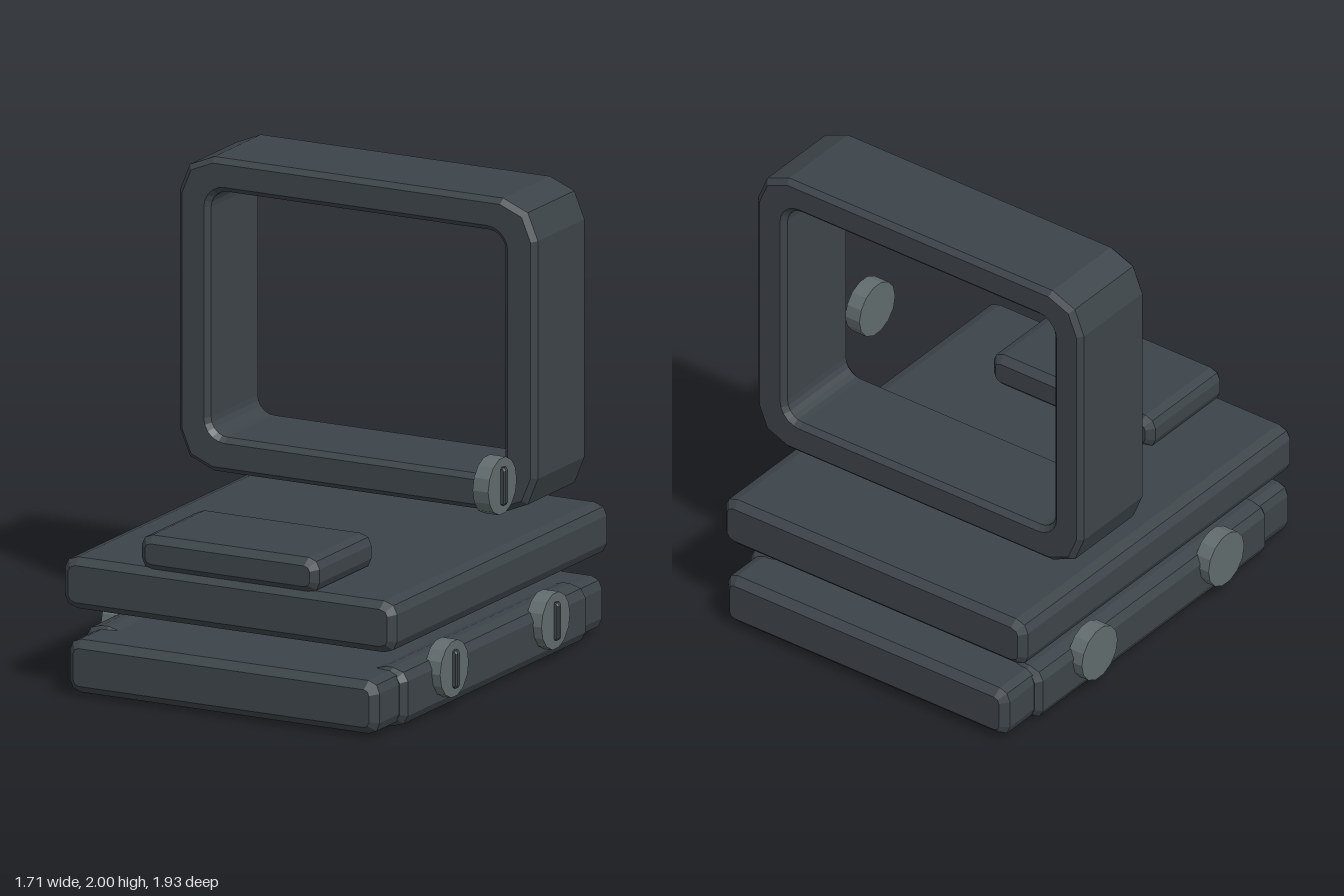
import * as THREE from 'three';

const body = new THREE.MeshStandardMaterial({ color: 0x3d4449 });
body.name = 'charcoal';
const metal = new THREE.MeshStandardMaterial({ color: 0x616b6d });
metal.name = 'grey metal';

// Rectangle whose corners are cut into n straight pieces
function roundedPoints(x0, x1, y0, y1, rx, ry, n) {
  const pts = [];
  const corners = [[x1 - rx, y1 - ry], [x0 + rx, y1 - ry], [x0 + rx, y0 + ry], [x1 - rx, y0 + ry]];
  corners.forEach(([cx, cy], c) => {
    for (let i = 0; i <= n; i++) {
      const a = (c + i / n) * Math.PI / 2;
      pts.push(new THREE.Vector2(cx + rx * Math.cos(a), cy + ry * Math.sin(a)));
    }
  });
  return pts;
}

// Extrude along z between z0 and z1, with chamfered ends inside that range
function extrude(shape, z0, z1, bevel) {
  const geo = new THREE.ExtrudeGeometry(shape, {
    depth: z1 - z0 - 2 * bevel, bevelEnabled: true, bevelSegments: 1,
    bevelSize: bevel, bevelThickness: bevel, bevelOffset: -bevel,
  });
  return geo.translate(0, 0, z0 + bevel);
}

function slab(name, [x0, x1], [y0, y1], [z0, z1], rx, ry, bevel, n = 1) {
  const shape = new THREE.Shape(roundedPoints(x0, x1, y0, y1, rx, ry, n));
  const mesh = new THREE.Mesh(extrude(shape, z0, z1, bevel), body);
  mesh.name = name;
  return mesh;
}

// Round screw head facing +x, with a raised bar across its face
function screw(name, x, y, z) {
  const group = new THREE.Group();
  group.name = name;
  const headGeo = new THREE.CylinderGeometry(0.12, 0.12, 0.072, 14).toNonIndexed();
  headGeo.computeVertexNormals();
  headGeo.rotateZ(-Math.PI / 2);
  const head = new THREE.Mesh(headGeo, metal);
  head.name = 'screwHead';
  const bar = slab('screwBar', [0.02, 0.056], [-0.08, 0.08], [-0.015, 0.015], 0.008, 0.012, 0.006);
  group.add(head, bar);
  group.position.set(x, y, z);
  return group;
}

export function createModel() {
  const model = new THREE.Group();
  model.name = 'clampedFrame';

  // Upright open frame
  const outline = new THREE.Shape(roundedPoints(-0.86, 0.80, 0.68, 2.0, 0.16, 0.16, 2));
  outline.holes.push(new THREE.Path(roundedPoints(-0.715, 0.65, 0.828, 1.86, 0.075, 0.075, 5).reverse()));
  const frame = new THREE.Mesh(extrude(outline, -0.605, -0.17, 0.022), body);
  frame.name = 'frame';
  model.add(frame);

  // Upper plate and the pad on it
  model.add(slab('upperPlate', [-0.80, 0.74], [0.35, 0.566], [-0.91, 0.91], 0.06, 0.05, 0.03, 2));
  model.add(slab('frontPad', [-0.443, 0.38], [0.556, 0.703], [0.415, 0.91], 0.05, 0.045, 0.03, 2));

  // Lower plate with thicker side rails
  model.add(slab('lowerPlate', [-0.748, 0.688], [0.015, 0.238], [-0.965, 0.965], 0.05, 0.05, 0.032, 2));
  model.add(slab('rightRail', [-0.775, -0.60], [0.004, 0.25], [-0.77, 0.77], 0.07, 0.05, 0.025, 2));
  model.add(slab('leftRail', [0.54, 0.715], [0.004, 0.25], [-0.77, 0.77], 0.07, 0.05, 0.025, 2));

  // Screws along both rails, and the loose one beside the frame
  for (const z of [0.425, -0.425]) {
    model.add(screw('rightScrew', -0.784, 0.183, z));
    model.add(screw('leftScrew', 0.718, 0.183, z));
  }
  model.add(screw('frameScrew', 0.797, 0.90, 0.165));
  return model;
}
